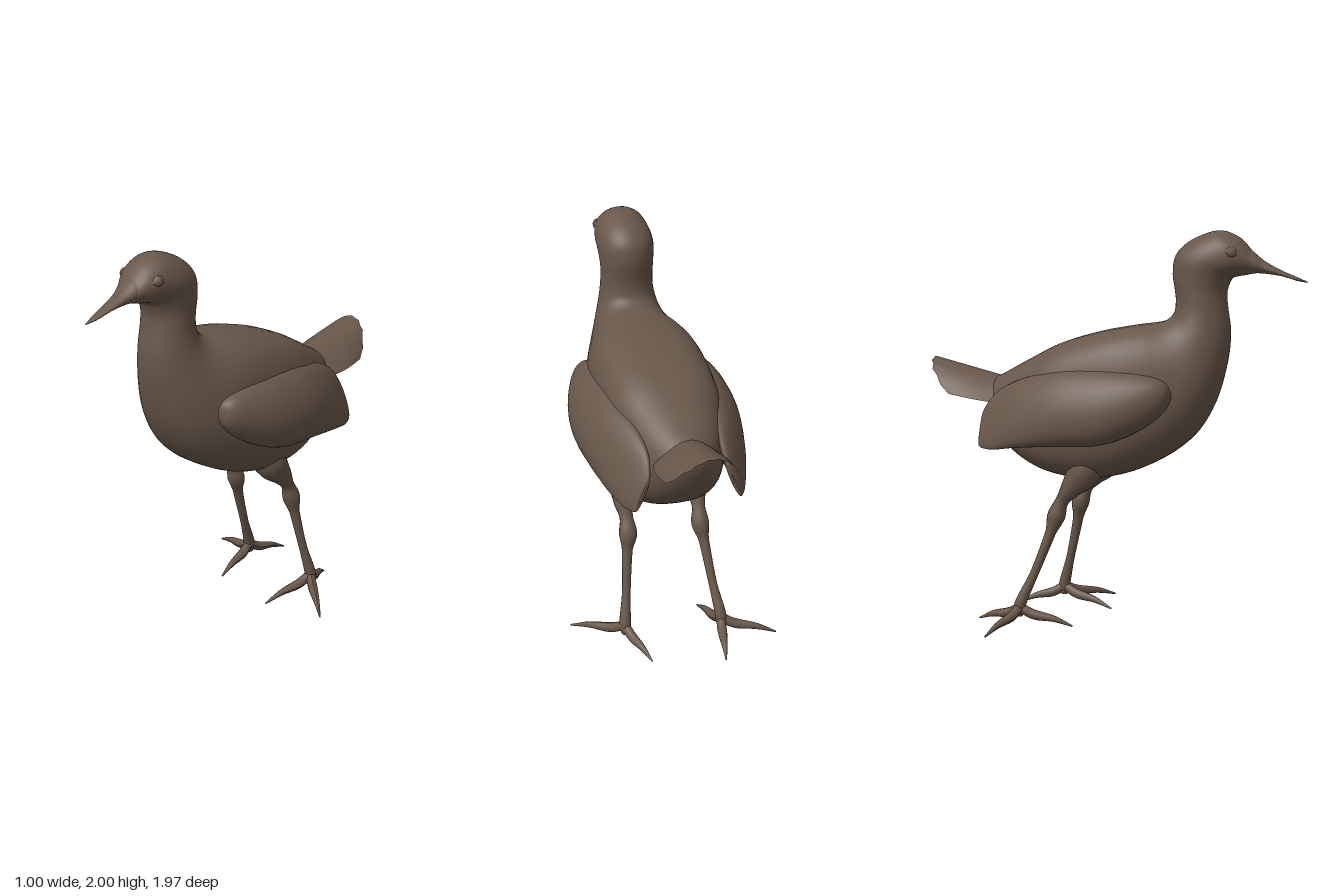
import * as THREE from 'three';

const plumage = new THREE.MeshStandardMaterial({ color: 0x68574a, side: THREE.DoubleSide });
plumage.name = 'brown plumage';
const CX = 0.02; // midline of the bird

// Smooth skin through sections, rear to front:
// [topZ, topY, bottomZ, bottomY, halfWidth, squareness, topX, bottomX]
function loft(sections, steps = 5, sides = 40) {
  const curve = f => new THREE.CatmullRomCurve3(sections.map(f), false, 'catmullrom', 0.5);
  const top = curve(s => new THREE.Vector3(s[6] ?? 0, s[1], s[0]));
  const bottom = curve(s => new THREE.Vector3(s[7] ?? 0, s[3], s[2]));
  const size = curve(s => new THREE.Vector3(s[4], s[5] ?? 1, 0));
  const n = (sections.length - 1) * steps, pos = [], idx = [];
  const power = (v, e) => Math.sign(v) * Math.pow(Math.abs(v), e);
  for (let i = 0; i <= n; i++) {
    const t = i / n, a = top.getPoint(t), b = bottom.getPoint(t), s = size.getPoint(t);
    const mid = a.clone().add(b).multiplyScalar(0.5), axis = a.clone().sub(b).multiplyScalar(0.5);
    for (let j = 0; j < sides; j++) {
      const th = j / sides * Math.PI * 2;
      const c = power(Math.cos(th), s.y), k = power(Math.sin(th), s.y);
      pos.push(mid.x + axis.x * k + Math.max(s.x, 0.001) * c, mid.y + axis.y * k, mid.z + axis.z * k);
      if (i < n) {
        const p = i * sides + j, q = i * sides + (j + 1) % sides;
        idx.push(p, q, p + sides, q, q + sides, p + sides);
      }
    }
  }
  const g = new THREE.BufferGeometry();
  g.setAttribute('position', new THREE.Float32BufferAttribute(pos, 3));
  g.setIndex(idx);
  g.computeVertexNormals();
  return g;
}

// Tube whose radius follows a list, one value per path point
function limb(points, radii, segs = 32, sides = 14) {
  const path = new THREE.CatmullRomCurve3(points.map(p => new THREE.Vector3(...p)));
  const size = new THREE.CatmullRomCurve3(radii.map(r => new THREE.Vector3(r, 0, 0)));
  const g = new THREE.TubeGeometry(path, segs, 1, sides);
  const p = g.attributes.position, v = new THREE.Vector3();
  for (let i = 0; i <= segs; i++) {
    const t = path.getUtoTmapping(i / segs), c = path.getPoint(t), r = size.getPoint(t).x;
    for (let j = 0; j <= sides; j++) {
      const k = i * (sides + 1) + j;
      v.fromBufferAttribute(p, k).sub(c).multiplyScalar(r).add(c);
      p.setXYZ(k, v.x, v.y, v.z);
    }
  }
  g.computeVertexNormals();
  return g;
}

// Arched fan of tail feathers with a scalloped end
function tailGeometry() {
  const g = new THREE.PlaneGeometry(2, 1, 32, 16), p = g.attributes.position;
  for (let i = 0; i < p.count; i++) {
    const u = p.getX(i), v = p.getY(i) + 0.5;
    const scallop = 0.012 * Math.abs(Math.sin(u * Math.PI * 3.5)) * v;
    const reach = 0.48 - 0.14 * Math.pow(Math.abs(u), 2.6) - scallop;
    const width = 0.14 + 0.055 * Math.sin(Math.min(v * 1.3, 1) * Math.PI / 2) - 0.02 * v * v;
    const drop = (0.11 + 0.06 * v) * u * u;
    p.setXYZ(i, u * width, 1.225 + 0.11 * v - drop, -0.5 - v * reach);
  }
  g.computeVertexNormals();
  return g;
}

export function createModel() {
  const bird = new THREE.Group();
  bird.name = 'bird';
  const add = (name, geometry, x = CX) => {
    const m = new THREE.Mesh(geometry, plumage);
    m.name = name;
    m.position.x = x;
    bird.add(m);
    return m;
  };

  // Torso, neck and head in one skin
  add('body', loft([
    [-0.67, 1.17, -0.67, 1.14, 0.01, 1],
    [-0.64, 1.23, -0.655, 1.07, 0.08, 1],
    [-0.55, 1.28, -0.605, 0.97, 0.16, 0.9],
    [-0.42, 1.35, -0.50, 0.86, 0.225, 0.78],
    [-0.25, 1.435, -0.34, 0.782, 0.28, 0.68],
    [-0.05, 1.495, -0.14, 0.75, 0.30, 0.66],
    [0.10, 1.525, 0.06, 0.775, 0.30, 0.68],
    [0.20, 1.54, 0.25, 0.85, 0.28, 0.74],
    [0.26, 1.55, 0.42, 0.975, 0.245, 0.82],
    [0.295, 1.565, 0.53, 1.15, 0.205, 0.9],
    [0.325, 1.60, 0.59, 1.35, 0.165, 1],
    [0.332, 1.66, 0.605, 1.50, 0.14, 1],
    [0.325, 1.72, 0.59, 1.62, 0.133, 1],
    [0.315, 1.79, 0.585, 1.70, 0.135, 1],
    [0.33, 1.88, 0.61, 1.765, 0.142, 1],
    [0.41, 1.955, 0.65, 1.78, 0.14, 1],
    [0.54, 2.0, 0.68, 1.785, 0.124, 1],
    [0.64, 1.97, 0.70, 1.79, 0.098, 1],
    [0.705, 1.905, 0.735, 1.795, 0.066, 1],
  ]));

  // Slender, slightly drooping bill
  add('beak', loft([
    [0.66, 1.93, 0.70, 1.79, 0.075],
    [0.705, 1.905, 0.735, 1.795, 0.066],
    [0.77, 1.855, 0.785, 1.792, 0.045],
    [0.85, 1.812, 0.86, 1.782, 0.032],
    [0.93, 1.78, 0.93, 1.762, 0.02],
    [0.985, 1.757, 0.985, 1.753, 0.003],
  ], 5, 24));

  add('tail', tailGeometry());

  for (const side of [1, -1]) {
    const label = side > 0 ? 'left' : 'right';

    // Folded wing, leaning in over the back and thinning to the rear
    add(label + 'Wing', loft([
      [-0.63, 1.05, -0.63, 0.95, 0.003, 1, 0.21, 0.255],
      [-0.62, 1.10, -0.62, 0.915, 0.02, 1, 0.195, 0.265],
      [-0.55, 1.19, -0.54, 0.91, 0.04, 1, 0.19, 0.30],
      [-0.40, 1.265, -0.40, 0.93, 0.075, 1, 0.215, 0.325],
      [-0.20, 1.315, -0.20, 0.945, 0.115, 1, 0.24, 0.325],
      [0.00, 1.33, 0.00, 0.955, 0.13, 1, 0.25, 0.315],
      [0.15, 1.322, 0.15, 1.0, 0.12, 1, 0.255, 0.295],
      [0.28, 1.30, 0.28, 1.075, 0.085, 1, 0.26, 0.265],
      [0.345, 1.27, 0.345, 1.14, 0.05, 1, 0.25, 0.25],
      [0.37, 1.225, 0.37, 1.19, 0.004, 1, 0.235, 0.235],
    ].map(s => [...s.slice(0, 6), s[6] * side, s[7] * side]), 5, 32));

    // Eye and brow ridge
    const eye = add(label + 'Eye', new THREE.SphereGeometry(0.022, 20, 14));
    eye.position.set(CX + side * 0.105, 1.875, 0.62);
    eye.scale.set(0.7, 0.75, 1.3);
    add(label + 'Brow', limb([
      [side * 0.056, 1.868, 0.71], [side * 0.09, 1.888, 0.655],
      [side * 0.111, 1.903, 0.6], [side * 0.126, 1.905, 0.52]],
      [0.004, 0.01, 0.01, 0.003], 16, 8));
  }

  // Legs: ankle position, then toe tips relative to it (x, z)
  const legs = [
    { label: 'left', s: 1, knee: 0.215, foot: [0.265, -0.35], toes: [[-0.07, 0.285], [0.235, 0.21], [-0.08, -0.22]] },
    { label: 'right', s: -1, knee: -0.165, foot: [-0.225, -0.42], toes: [[0.04, 0.27], [-0.275, -0.08], [0.05, -0.24]] },
  ];
  for (const { label, s, knee, foot: [fx, fz], toes } of legs) {
    const at = k => knee + (fx - knee) * k, zt = k => -0.24 + (fz + 0.24) * k;
    add(label + 'Leg', limb([
      [CX + s * 0.15, 0.91, -0.07], [CX + s * 0.17, 0.80, -0.1],
      [knee, 0.71, -0.165], [knee, 0.645, -0.21], [knee, 0.57, -0.24],
      [at(0.2), 0.48, zt(0.16)], [at(0.6), 0.27, zt(0.6)], [fx, 0.1, fz], [fx, 0.05, fz - 0.005]],
      [0.09, 0.088, 0.052, 0.034, 0.046, 0.027, 0.022, 0.03, 0.02], 60), 0);
    toes.forEach(([dx, dz], i) => {
      add(label + 'Toe' + (i + 1), limb([
        [fx, 0.095, fz], [fx + dx * 0.25, 0.06, fz + dz * 0.25],
        [fx + dx * 0.65, 0.04, fz + dz * 0.65], [fx + dx, 0.006, fz + dz]],
        [0.024, 0.025, 0.016, 0.004], 20, 10), 0);
    });
  }
  return bird;
}
